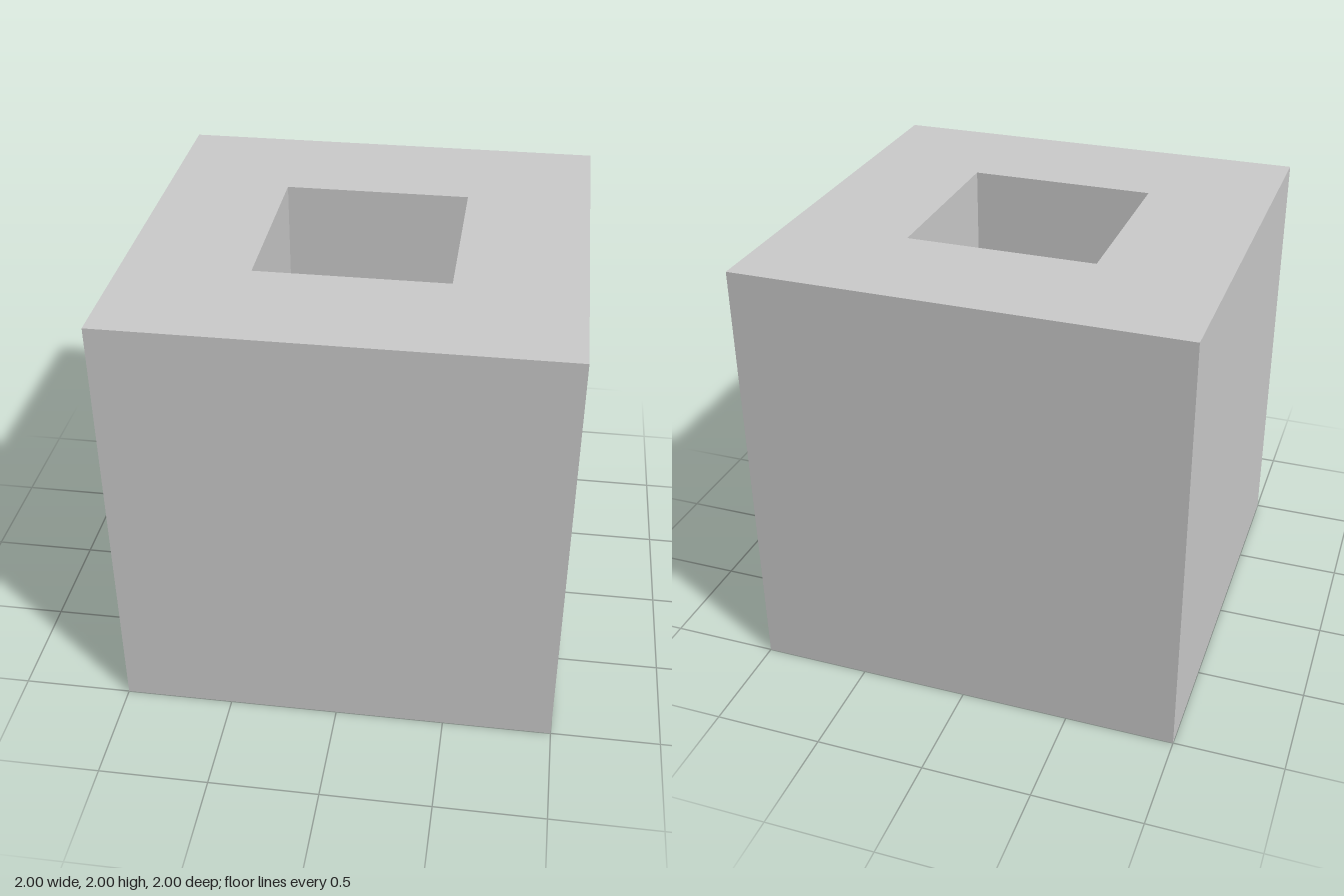
import * as THREE from 'three';

const HALF = 1;          // half width of the block
const HEIGHT = 2;
const HOLE = 0.43;       // half width of the square recess
const FLOOR = 0.57;      // floor height, matching the wall thickness

export function createModel() {
  const group = new THREE.Group();
  group.name = 'hollowBlock';

  // Profile: underside, outer wall, rim, recess wall, recess floor
  const profile = [
    [0, 0], [HALF, 0], [HALF, HEIGHT], [HOLE, HEIGHT], [HOLE, FLOOR], [0, FLOOR],
  ].map(([half, y]) => new THREE.Vector2(half * Math.SQRT2, y));

  // Four-sided revolution turned 45 degrees gives one closed square block
  const geometry = new THREE.LatheGeometry(profile, 4).rotateY(Math.PI / 4).toNonIndexed();
  geometry.computeVertexNormals();

  const block = new THREE.Mesh(
    geometry,
    new THREE.MeshStandardMaterial({ color: 0xcccccc, flatShading: true }),
  );
  block.name = 'blockWithSquareRecess';
  group.add(block);
  return group;
}
